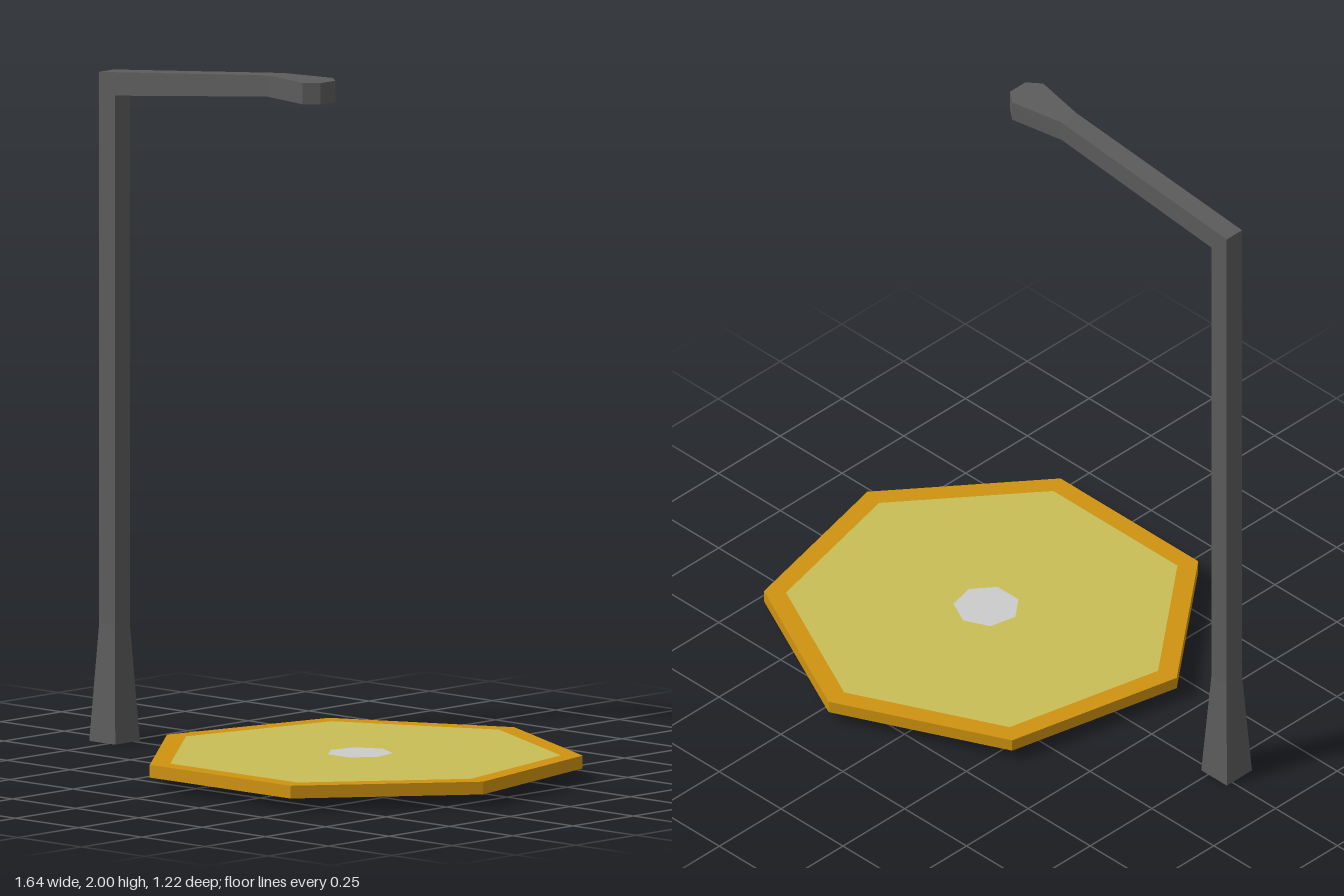
import * as THREE from 'three';

const CX = 0.195, CZ = 0.029;   // centre of the seven-sided plate
const TOP = 0.072, DEPTH = 0.037;

function material(color) {
  return new THREE.MeshStandardMaterial({ color, flatShading: true, side: THREE.DoubleSide });
}

// Four-sided tube through sections of [outerX, outerY, innerX, innerY, halfWidth]
function loft(sections) {
  const points = [], index = [];
  for (const [ox, oy, ix, iy, h] of sections) {
    points.push(ox, oy, h, ix, iy, h, ix, iy, -h, ox, oy, -h);
  }
  const quad = (a, b, c, d) => index.push(a, b, c, a, c, d);
  const last = (sections.length - 1) * 4;
  for (let s = 0; s < last; s += 4) {
    for (let k = 0; k < 4; k++) {
      const n = (k + 1) % 4;
      quad(s + k, s + n, s + 4 + n, s + 4 + k);
    }
  }
  quad(0, 3, 2, 1);
  quad(last, last + 1, last + 2, last + 3);
  const indexed = new THREE.BufferGeometry();
  indexed.setAttribute('position', new THREE.Float32BufferAttribute(points, 3));
  indexed.setIndex(index);
  const geometry = indexed.toNonIndexed();
  geometry.computeVertexNormals();
  return geometry;
}

export function createModel() {
  const model = new THREE.Group();
  const add = (parent, name, geometry, mat) => {
    const mesh = new THREE.Mesh(geometry, mat);
    mesh.name = name;
    parent.add(mesh);
    return mesh;
  };

  // Lamp post: flared foot, mitred corner, rising arm and widened head
  const post = add(model, 'lampPost', loft([
    [-0.825, 0, -0.722, 0, 0.051],
    [-0.805, 0.34, -0.743, 0.34, 0.031],
    [-0.805, 1.937, -0.743, 1.875, 0.031],
    [-0.135, 2, -0.14, 1.938, 0.031],
    [0.03, 2, 0.03, 1.938, 0.063],
    [0.07, 2, 0.07, 1.938, 0.031],
  ]), material(0x5c5c5c));
  post.position.z = CZ;

  // Pool of light: shallow rim open below, panel and bright centre flush with its top
  const pool = new THREE.Group();
  pool.name = 'lightPool';
  pool.position.set(CX, TOP, CZ);
  model.add(pool);

  const rim = material(0xcf930f);
  const wall = new THREE.CylinderGeometry(0.641, 0.641, DEPTH, 7, 1, true, Math.PI);
  add(pool, 'rimWall', wall.translate(0, -DEPTH / 2, 0), rim);

  const flatRing = (inner, outer) =>
    new THREE.RingGeometry(inner, outer, 7, 1, Math.PI / 2).rotateX(-Math.PI / 2);
  add(pool, 'rimTop', flatRing(0.578, 0.641), rim);
  add(pool, 'panel', flatRing(0.096, 0.578), material(0xc8be56));
  add(pool, 'centreSpot',
    new THREE.CircleGeometry(0.096, 7, Math.PI / 2).rotateX(-Math.PI / 2), material(0xcccccc));

  return model;
}
